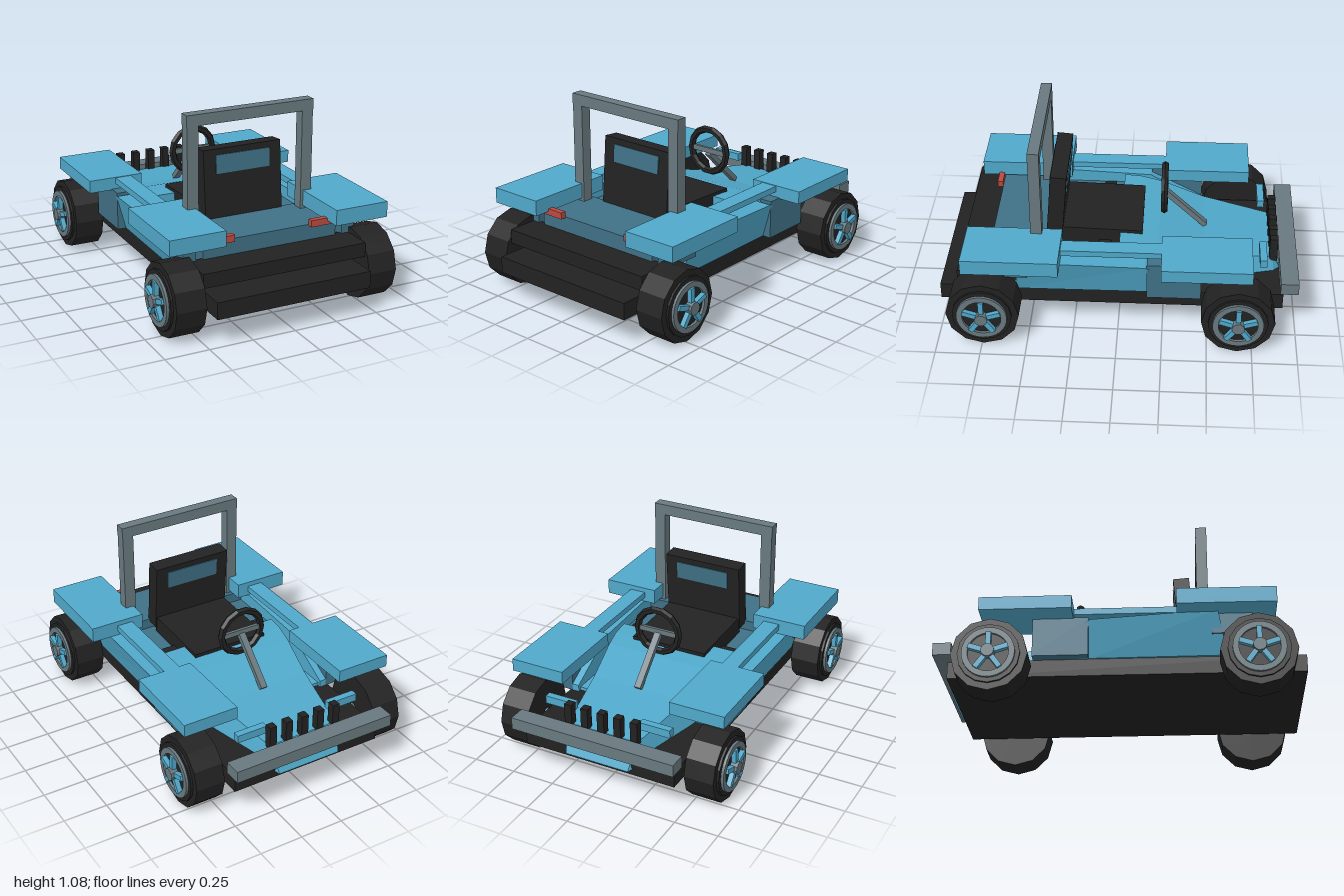
import * as THREE from 'three';

const flat = (name, color) => {
  const m = new THREE.MeshStandardMaterial({ color, flatShading: true });
  m.name = name;
  return m;
};

export function createModel() {
  const car = new THREE.Group();
  car.name = 'buggy';
  const blue = flat('bodyBlue', 0x50a8ca);
  const teal = flat('darkTeal', 0x3f7085);
  const black = flat('black', 0x222222);
  const grey = flat('metalGrey', 0x68797f);
  const red = flat('lampRed', 0xb94a40);

  const add = (name, geo, mat, parent = car) => {
    const m = new THREE.Mesh(geo, mat);
    m.name = name;
    parent.add(m);
    return m;
  };
  // Box given by its limits on each axis
  const box = (name, mat, x0, x1, y0, y1, z0, z1, parent = car) => {
    const m = add(name, new THREE.BoxGeometry(x1 - x0, y1 - y0, z1 - z0), mat, parent);
    m.position.set((x0 + x1) / 2, (y0 + y1) / 2, (z0 + z1) / 2);
    return m;
  };
  // Same box on the left (+x) and right (-x)
  const pair = (name, mat, x0, x1, ...rest) => {
    box(name + 'Left', mat, x0, x1, ...rest);
    box(name + 'Right', mat, -x1, -x0, ...rest);
  };
  // Four-sided loft; sections run from +z to -z, corners anticlockwise seen from +z
  const loft = (sections) => {
    const pos = [];
    const put = (...pts) => pts.forEach((p) => pos.push(...p));
    const quad = (a, b, c, d) => put(a, b, c, a, c, d);
    for (let i = 0; i < sections.length - 1; i++) {
      const s = sections[i], t = sections[i + 1];
      for (let k = 0; k < 4; k++) {
        const n = (k + 1) % 4;
        quad(s[k], t[k], t[n], s[n]);
      }
    }
    const e = sections[sections.length - 1];
    quad(...sections[0]);
    quad(e[0], e[3], e[2], e[1]);
    const g = new THREE.BufferGeometry();
    g.setAttribute('position', new THREE.Float32BufferAttribute(pos, 3));
    g.computeVertexNormals();
    return g;
  };

  // Chassis, body core and rear engine cover
  box('chassis', black, -0.455, 0.455, 0.155, 0.25, -0.92, 1);
  box('floorPan', blue, -0.45, 0.45, 0.25, 0.27, -0.44, 0.58);
  box('cockpitFloor', teal, -0.4, 0.4, 0.27, 0.4, -0.02, 0.42);
  box('rearDeck', teal, -0.4, 0.4, 0.27, 0.458, 0.4, 0.72);
  box('floorBar', black, -0.36, 0.36, 0.4, 0.425, 0.05, 0.12);
  box('engineCover', black, -0.484, 0.484, 0.29, 0.37, 0.7, 0.895);

  // Wedge nose: z, top half width, top height, bottom half width, bottom height
  const nose = [
    [0, 0.36, 0.48, 0.375, 0.25],
    [-0.1, 0.355, 0.475, 0.375, 0.25],
    [-0.22, 0.333, 0.46, 0.37, 0.25],
    [-0.47, 0.287, 0.388, 0.33, 0.25],
    [-0.87, 0.213, 0.33, 0.245, 0.22],
    [-0.94, 0.19, 0.185, 0.19, 0.178],
  ];
  add('nose', loft(nose.map(([z, t, yt, b, yb]) =>
    [[-b, yb, z], [b, yb, z], [t, yt, z], [-t, yt, z]])), blue);

  // Side pods: bottom z, top z, bottom outer x, top outer x, top height
  const pod = [
    [0.58, 0.535, 0.47, 0.545, 0.485],
    [-0.15, -0.15, 0.465, 0.52, 0.455],
    [-0.46, -0.46, 0.46, 0.475, 0.29],
  ];
  for (const s of [1, -1]) {
    const sections = pod.map(([zb, zt, b, t, y]) => {
      const [b0, b1, t0, t1] = s > 0 ? [0.4, b, 0.4, t] : [-b, -0.4, -t, -0.4];
      return [[b0, 0.25, zb], [b1, 0.25, zb], [t1, y, zt], [t0, y, zt]];
    });
    add(s > 0 ? 'sidePodLeft' : 'sidePodRight', loft(sections), blue);
  }
  pair('sideRail', blue, 0.395, 0.49, 0.5, 0.535, -0.24, 0.315);
  pair('frontFenderMount', teal, 0.44, 0.515, 0.25, 0.47, -0.46, -0.16);
  pair('rearFenderMount', teal, 0.44, 0.515, 0.36, 0.478, 0.5, 0.72);
  pair('frontFender', blue, 0.328, 0.648, 0.465, 0.538, -0.735, -0.24);
  pair('rearFender', blue, 0.328, 0.648, 0.475, 0.563, 0.315, 0.845);

  // Nose fittings and tail lamps
  box('bumper', grey, -0.49, 0.49, 0.28, 0.35, -1, -0.9);
  pair('noseLampBar', blue, 0.2, 0.38, 0.38, 0.425, -0.825, -0.785);
  for (let i = -2; i <= 2; i++) {
    box('grilleTooth', black, i * 0.1 - 0.021, i * 0.1 + 0.021, 0.31, 0.455, -0.89, -0.845);
  }
  pair('tailLamp', red, 0.23, 0.375, 0.452, 0.49, 0.72, 0.752);

  // Roll bar
  pair('rollBarPost', grey, 0.312, 0.378, 0.42, 1.02, 0.425, 0.488);
  box('rollBarTop', grey, -0.38, 0.38, 1.02, 1.083, 0.425, 0.488);

  // Seat
  box('seatCushion', black, -0.228, 0.228, 0.4, 0.5, -0.125, 0.34).rotation.x = -0.03;
  const seatBack = new THREE.Group();
  seatBack.name = 'seatBack';
  seatBack.position.set(0, 0.44, 0.372);
  seatBack.rotation.x = -0.08;
  car.add(seatBack);
  box('backrest', black, -0.235, 0.235, 0, 0.4, -0.045, 0.045, seatBack);
  box('headPanel', teal, -0.163, 0.163, 0.262, 0.366, -0.051, 0.051, seatBack);

  // Steering wheel and column
  add('steeringWheel', new THREE.TorusGeometry(0.128, 0.021, 6, 14), black).position.set(0, 0.64, -0.243);
  box('steeringSpoke', grey, -0.12, 0.12, 0.625, 0.655, -0.253, -0.235);
  const column = box('steeringColumn', grey, -0.019, 0.019, 0.495, 0.525, -0.53, -0.195);
  column.rotation.x = -0.76;
  column.position.set(0, 0.51, -0.36);

  // Wheels and axles
  const disc = (name, mat, r, x0, x1, sides, parent) => {
    const m = add(name, new THREE.CylinderGeometry(r, r, x1 - x0, sides).rotateZ(-Math.PI / 2), mat, parent);
    m.position.x = (x0 + x1) / 2;
  };
  const ringShape = new THREE.Shape().absarc(0, 0, 0.14, 0, Math.PI * 2);
  ringShape.holes.push(new THREE.Path().absarc(0, 0, 0.108, 0, Math.PI * 2, true));
  const ringGeo = new THREE.ExtrudeGeometry(ringShape, { depth: 0.015, bevelEnabled: false, curveSegments: 16 })
    .rotateY(Math.PI / 2);
  for (const z of [0.74, -0.667]) {
    for (const s of [1, -1]) {
      const wheel = new THREE.Group();
      wheel.name = (z > 0 ? 'rear' : 'front') + 'Wheel' + (s > 0 ? 'Left' : 'Right');
      wheel.position.set(0, 0.203, z);
      wheel.rotation.y = s > 0 ? 0 : Math.PI;
      car.add(wheel);
      disc('tyre', black, 0.203, 0.485, 0.655, 12, wheel);
      disc('tyreShoulder', black, 0.165, 0.655, 0.668, 16, wheel);
      add('rimRing', ringGeo, grey, wheel).position.x = 0.668;
      disc('hub', grey, 0.036, 0.66, 0.71, 10, wheel);
      for (let i = 0; i < 5; i++) {
        const arm = new THREE.Group();
        arm.name = 'spokeArm';
        arm.rotation.x = (i * Math.PI * 2) / 5;
        wheel.add(arm);
        box('spoke', blue, 0.666, 0.695, 0.03, 0.11, -0.014, 0.014, arm);
      }
    }
    const axle = add('axle', new THREE.CylinderGeometry(0.026, 0.026, 1, 10).rotateZ(Math.PI / 2), grey);
    axle.position.set(0, 0.205, z);
  }
  return car;
}
